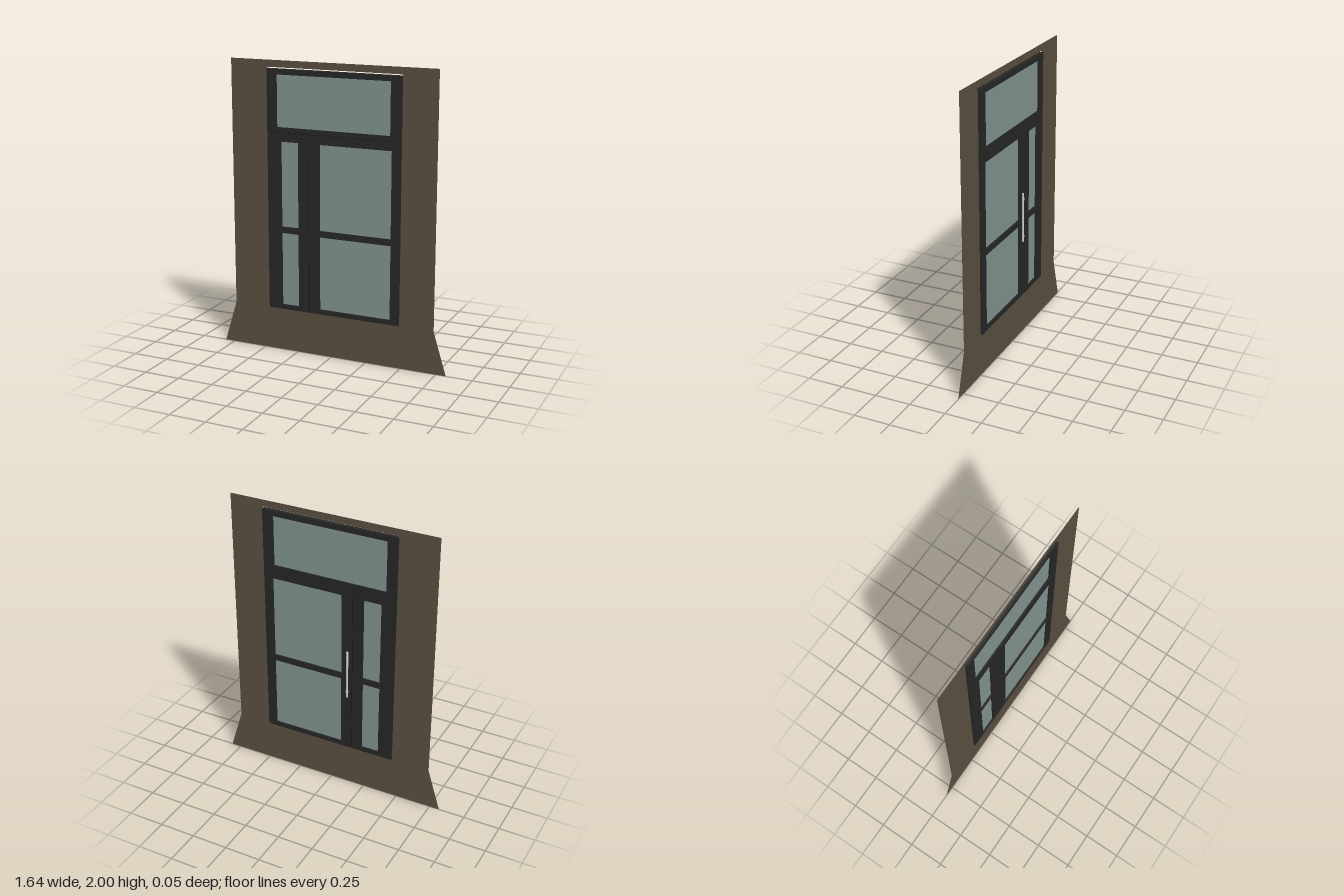
import * as THREE from 'three';

const DEPTH = 0.028;

const mat = (color, side = THREE.FrontSide) => new THREE.MeshStandardMaterial({ color, side });

// Closed path through [x, y] corners
function trace(path, pts) {
  pts.forEach(([x, y], i) => (i ? path.lineTo(x, y) : path.moveTo(x, y)));
  path.closePath();
  return path;
}
const rect = (path, [x0, x1, y0, y1]) => trace(path, [[x0, y0], [x1, y0], [x1, y1], [x0, y1]]);

export function createModel() {
  const model = new THREE.Group();
  const frameMat = mat(0x262626);
  const glassMat = mat(0x81938f);
  const steelMat = mat(0xcccccc);
  const darkMat = mat(0x0c0c0c);

  const add = (parent, name, geometry, material, x = 0, y = 0, z = 0) => {
    const mesh = new THREE.Mesh(geometry, material);
    mesh.name = name;
    mesh.position.set(x, y, z);
    parent.add(mesh);
    return mesh;
  };

  // Thin wall sheet with a flared foot and the door opening
  const wall = trace(new THREE.Shape(), [
    [-0.82, 0], [0.82, 0], [0.73, 0.295], [0.73, 2], [-0.73, 2], [-0.73, 0.295],
  ]);
  wall.holes.push(rect(new THREE.Path(), [-0.46, 0.49, 0.3, 1.953]));
  add(model, 'wall', new THREE.ShapeGeometry(wall), mat(0x5a4f40, THREE.DoubleSide));

  // A framed panel: extruded surround with one recessed pane per opening
  function panel(name, outer, openings) {
    const group = new THREE.Group();
    group.name = name;
    const shape = rect(new THREE.Shape(), outer);
    openings.forEach((o) => shape.holes.push(rect(new THREE.Path(), o)));
    const geo = new THREE.ExtrudeGeometry(shape, { depth: DEPTH, bevelEnabled: false });
    add(group, name + 'Frame', geo, frameMat, 0, 0, -DEPTH / 2);
    openings.forEach(([x0, x1, y0, y1]) => {
      const pane = new THREE.BoxGeometry(x1 - x0, y1 - y0, 0.008);
      add(group, name + 'Glass', pane, glassMat, (x0 + x1) / 2, (y0 + y1) / 2, 0);
    });
    model.add(group);
  }

  panel('transom', [-0.46, 0.49, 1.527, 1.945], [[-0.39, 0.415, 1.56, 1.908]]);
  panel('head', [-0.46, 0.49, 1.47, 1.524], []);
  panel('sideLeaf', [-0.46, -0.161, 0.3, 1.47],
    [[-0.36, -0.235, 0.333, 0.84], [-0.36, -0.235, 0.883, 1.465]]);
  panel('mainLeaf', [-0.156, 0.49, 0.3, 1.47],
    [[-0.08, 0.427, 0.333, 0.84], [-0.08, 0.427, 0.883, 1.465]]);

  // Dark seals set back inside the joints
  add(model, 'leafSeal', new THREE.BoxGeometry(0.006, 1.17, 0.018), darkMat, -0.1585, 0.885, 0);
  add(model, 'transomSeal', new THREE.BoxGeometry(0.948, 0.004, 0.022), darkMat, 0.015, 1.5255, 0);

  // Pull bar on the back, with fixings through to the front
  const handle = new THREE.Group();
  handle.name = 'handle';
  add(handle, 'pullBar', new THREE.CylinderGeometry(0.007, 0.007, 0.35, 16), steelMat, -0.127, 0.885, -0.021);
  for (const y of [0.752, 1.02]) {
    const bolt = new THREE.LineCurve3(
      new THREE.Vector3(-0.127, y, -0.021), new THREE.Vector3(-0.135, y, 0.018));
    add(handle, 'bolt', new THREE.TubeGeometry(bolt, 1, 0.004, 10), steelMat);
    add(handle, 'collar', new THREE.CylinderGeometry(0.0085, 0.0085, 0.018, 16), steelMat, -0.127, y, -0.021);
    const cap = add(handle, 'boltCap', new THREE.CylinderGeometry(0.006, 0.006, 0.011, 16), frameMat, -0.136, y, 0.0185);
    cap.rotation.x = Math.PI / 2;
  }
  model.add(handle);

  return model;
}
